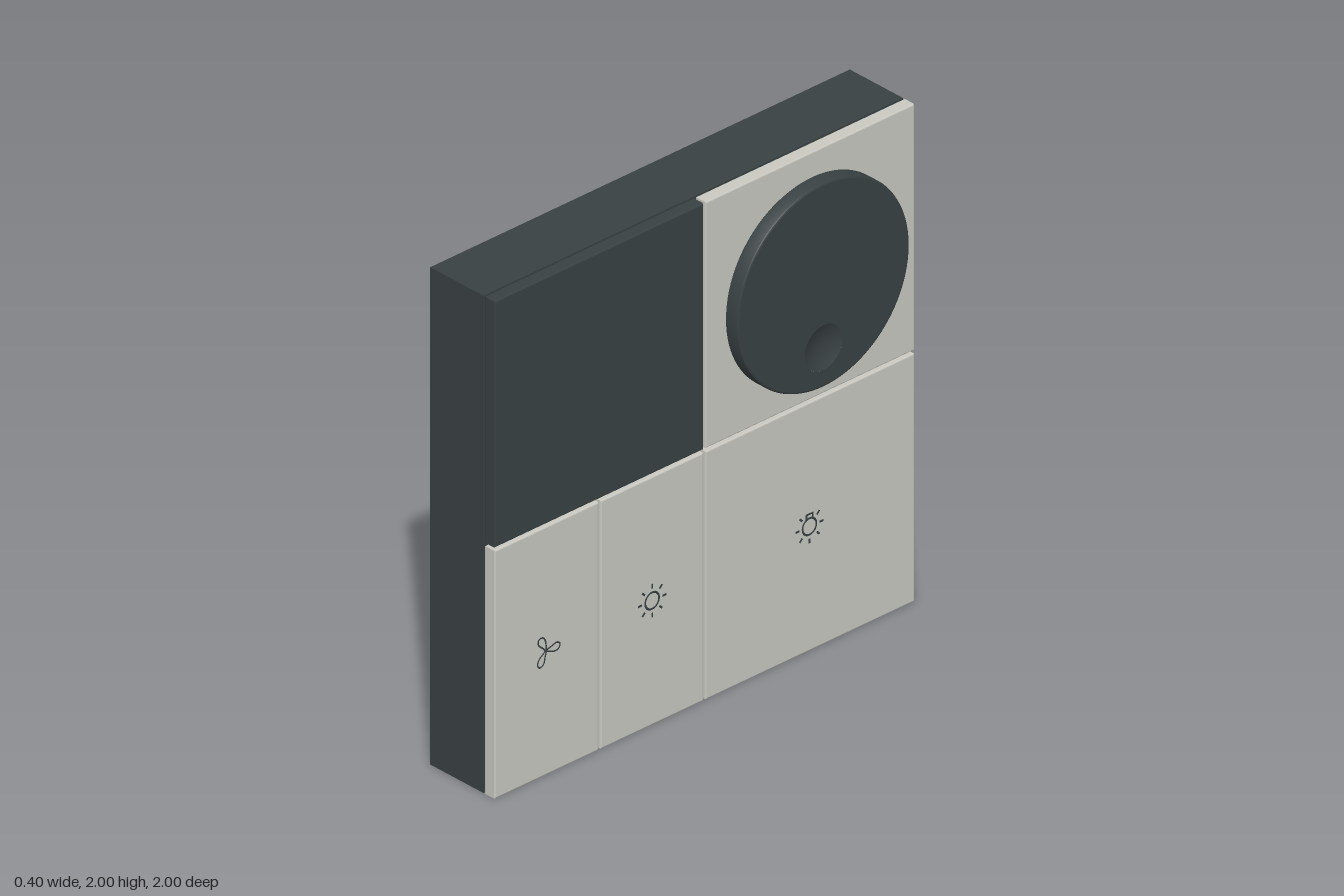
import * as THREE from 'three';
import { toCreasedNormals } from 'three/addons/utils/BufferGeometryUtils.js';

const dark = new THREE.MeshStandardMaterial({ color: 0x394143 });
const light = new THREE.MeshStandardMaterial({ color: 0xc9c9c1 });

// Built facing +z (x across, y up), then turned so the face looks along +x.
const FACE = 0.128;

function add(parent, name, geometry, material, x = 0, y = 0, z = 0) {
  const mesh = new THREE.Mesh(geometry, material);
  mesh.name = name;
  mesh.position.set(x, y, z);
  parent.add(mesh);
  return mesh;
}

function rectShape(x0, y0, x1, y1) {
  const s = new THREE.Shape();
  s.moveTo(x0, y0);
  s.lineTo(x1, y0);
  s.lineTo(x1, y1);
  s.lineTo(x0, y1);
  s.closePath();
  return s;
}

// Round entry with a narrower slot above it
function keyholePath(cy, r, slot, top) {
  const a = Math.acos(slot / r);
  const p = new THREE.Path();
  p.absarc(0, cy, r, Math.PI - a, 2 * Math.PI + a, false);
  p.absarc(0, top - slot, slot, 0, Math.PI, false);
  p.closePath();
  return p;
}

function pierced(hole, depth) {
  const s = rectShape(-1, 0, 1, 2);
  s.holes.push(hole);
  return new THREE.ExtrudeGeometry(s, { depth, bevelEnabled: false, curveSegments: 20 });
}

// Square-edged tile with a fine chamfer, on a slightly inset tab
function addTile(parent, name, x0, y0, x1, y1, material) {
  const b = 0.005, back = 0.076;
  const g = new THREE.ExtrudeGeometry(rectShape(x0, y0, x1, y1), {
    depth: FACE - back - 2 * b, bevelThickness: b, bevelSize: b, bevelOffset: -b, bevelSegments: 2,
  });
  add(parent, name, toCreasedNormals(g, 0.3), material, 0, 0, back + b);
  const tab = new THREE.BoxGeometry(x1 - x0 - 0.024, y1 - y0 - 0.024, 0.012);
  add(parent, name + 'Tab', tab, dark, (x0 + x1) / 2, (y0 + y1) / 2, 0.074);
}

// Sun icon; the lamp version swaps the top ray for a small cap
function addSun(parent, name, x, y, lamp) {
  const icon = new THREE.Group();
  icon.name = name;
  icon.position.set(x, y, FACE);
  const ring = add(icon, 'iconRing', new THREE.TorusGeometry(0.033, 0.004, 6, 32), dark);
  ring.scale.z = 0.3;
  for (let i = 0; i < 8; i++) {
    const a = (i * Math.PI) / 4;
    if (lamp && i === 2) continue;
    const ray = add(icon, 'iconRay', new THREE.BoxGeometry(0.018, 0.008, 0.002), dark,
      0.058 * Math.cos(a), 0.058 * Math.sin(a), 0);
    ray.rotation.z = a;
  }
  if (lamp) {
    add(icon, 'lampCapTop', new THREE.BoxGeometry(0.034, 0.007, 0.002), dark, 0, 0.05, 0);
    for (const s of [-1, 1]) {
      add(icon, 'lampCapSide', new THREE.BoxGeometry(0.007, 0.022, 0.002), dark, s * 0.0145, 0.041, 0);
    }
  }
  parent.add(icon);
}

// Three outlined blades round a common centre
function addFan(parent, x, y) {
  const icon = new THREE.Group();
  icon.name = 'fanIcon';
  icon.position.set(x, y, FACE);
  const blade = new THREE.CatmullRomCurve3(
    [[0, 0], [0.022, 0.009], [0.05, 0.018], [0.065, 0.008], [0.06, -0.009], [0.04, -0.014], [0.018, -0.008]]
      .map(([u, v]) => new THREE.Vector3(u, v, 0)), true);
  const g = new THREE.TubeGeometry(blade, 40, 0.0035, 6, true);
  for (let i = 0; i < 3; i++) {
    const m = add(icon, 'fanBlade', g, dark);
    m.rotation.z = -0.08 + (i * 2 * Math.PI) / 3;
    m.scale.z = 0.3;
  }
  parent.add(icon);
}

// Dial with a shallow finger dimple near its lower edge
function addDial(parent, x, y) {
  const dial = new THREE.Group();
  dial.name = 'dial';
  dial.position.set(x, y, 0.133);
  const R = 0.41, H = 0.067, b = 0.008, r = 0.09, dy = -0.25;
  const turn = (pts, n) => new THREE.LatheGeometry(pts.map(([u, v]) => new THREE.Vector2(u, v)), n)
    .rotateX(Math.PI / 2);

  const rim = [[0, 0], [R - b, 0], [R, b], [R, H - b], [R - 0.3 * b, H - 0.3 * b], [R - b, H]];
  add(dial, 'dialRim', toCreasedNormals(turn(rim, 96), 0.6), dark);

  const face = new THREE.Shape();
  face.absarc(0, 0, R - b, 0, 2 * Math.PI, false);
  const hole = new THREE.Path();
  hole.absarc(0, dy, r, 0, 2 * Math.PI, true);
  face.holes.push(hole);
  add(dial, 'dialFace', new THREE.ShapeGeometry(face, 48), dark, 0, 0, H);

  const bowl = [];
  for (let i = 0; i <= 8; i++) {
    const t = 1 - i / 8;
    bowl.push([r * t, -0.02 * (1 - t * t)]);
  }
  add(dial, 'fingerDimple', turn(bowl, 48), dark, 0, dy, H);

  // Hidden spindle joining dial and tile
  const spindle = new THREE.CylinderGeometry(0.36, 0.36, 0.01, 64).rotateX(Math.PI / 2);
  add(dial, 'dialSpindle', spindle, dark, 0, 0, -0.002);
  parent.add(dial);
}

export function createModel() {
  const model = new THREE.Group();
  model.name = 'wallController';
  const panel = new THREE.Group();
  panel.name = 'panel';
  panel.rotation.y = Math.PI / 2;
  model.add(panel);

  // Housing: back plate with keyhole, wider pocket behind it, solid core
  add(panel, 'backPlate', pierced(keyholePath(1.755, 0.072, 0.032, 1.92), 0.03), dark, 0, 0, -0.2);
  add(panel, 'hangerPocket', pierced(keyholePath(1.755, 0.074, 0.066, 1.95), 0.05), dark, 0, 0, -0.17);
  add(panel, 'housing', new THREE.BoxGeometry(2, 2, 0.19), dark, 0, 1, -0.025);

  // Front tiles
  const g = 0.005;
  addTile(panel, 'displayTile', -1, 1.01, -g, 2, dark);
  addTile(panel, 'dialTile', g, 1.01, 1, 2, light);
  addTile(panel, 'fanButton', -1, 0, -0.5 - g, 0.997, light);
  addTile(panel, 'sunButton', -0.5 + g, 0, -g, 0.997, light);
  addTile(panel, 'lampButton', g, 0, 1, 0.997, light);

  addFan(panel, -0.755, 0.5);
  addSun(panel, 'sunIcon', -0.25, 0.5, false);
  addSun(panel, 'lampIcon', 0.5, 0.5, true);
  addDial(panel, 0.5, 1.5);
  return model;
}
